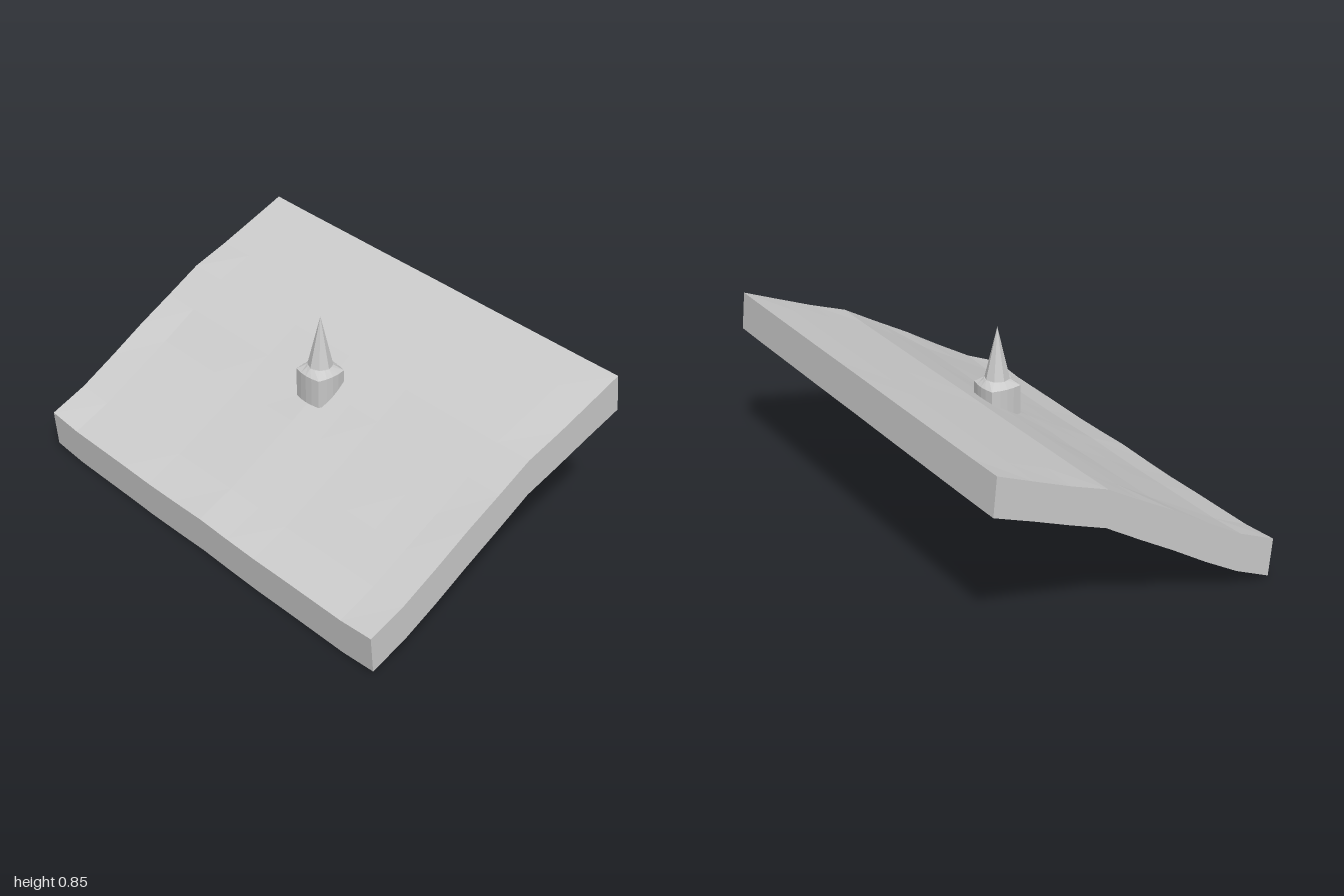
import * as THREE from 'three';

const grey = () => new THREE.MeshStandardMaterial({ color: 0xcccccc, flatShading: true });

// Cross-section of the slope from back to front: [z, y] for each row
const TOP = [[-0.62, 0.785], [-0.47, 0.725], [-0.31, 0.662], [-0.15, 0.606], [0, 0.52],
  [0.155, 0.434], [0.313, 0.338], [0.473, 0.246], [0.635, 0.178]];
const BOTTOM = [[-0.635, 0.627], [-0.47, 0.567], [-0.313, 0.507], [-0.155, 0.45], [0, 0.357],
  [0.155, 0.267], [0.308, 0.173], [0.463, 0.086], [0.62, 0.019]];
// How far each row sags, and how the sag spreads from the middle to the sides
const SAG = [0.002, -0.003, -0.004, 0.003, 0.006, 0.02, 0.012, 0.012, 0.018];
const SPREAD = [0.6, 0.85, 1, 0.85, 0.8, 0.75, 0];

// Faceted, uneven slab of sloping ground
function makeSlope() {
  const geo = new THREE.BoxGeometry(2, 1, 1, 12, 1, 8);
  const p = geo.attributes.position;
  for (let i = 0; i < p.count; i++) {
    const row = Math.round((p.getZ(i) + 0.5) * 8);
    const col = Math.round(Math.abs(p.getX(i)) * 6);
    const [z, y] = (p.getY(i) > 0 ? TOP : BOTTOM)[row];
    p.setY(i, y - SAG[row] * SPREAD[col]);
    p.setZ(i, z);
  }
  geo.computeVertexNormals();
  const mesh = new THREE.Mesh(geo, grey());
  mesh.name = 'slopeSlab';
  return mesh;
}

// Turned form whose rings are pushed out towards a rounded square: [radius, y, squareness]
function makeTurned(name, rings, sides) {
  const geo = new THREE.LatheGeometry(rings.map(([r, y]) => new THREE.Vector2(r, y)), sides);
  const p = geo.attributes.position;
  for (let i = 0; i < p.count; i++) {
    const square = rings[i % rings.length][2];
    const x = p.getX(i), z = p.getZ(i), r = Math.hypot(x, z);
    if (r < 1e-6) continue;
    const k = Math.pow(r / Math.max(Math.abs(x), Math.abs(z)), square);
    p.setX(i, x * k);
    p.setZ(i, z * k);
  }
  geo.computeVertexNormals();
  const mesh = new THREE.Mesh(geo, grey());
  mesh.name = name;
  return mesh;
}

export function createModel() {
  const model = new THREE.Group();
  model.name = 'spireOnSlope';
  model.add(makeSlope());

  const tower = new THREE.Group();
  tower.name = 'tower';
  tower.add(
    // Rounded-square body with a sloping shoulder
    makeTurned('towerBody', [[0, 0.48, 0], [0.077, 0.48, 0.6], [0.077, 0.603, 0.6],
      [0.053, 0.628, 0], [0, 0.628, 0]], 16),
    // Pointed roof
    makeTurned('spire', [[0.053, 0.625, 0], [0, 0.847, 0]], 8),
  );
  tower.position.z = 0.006;
  model.add(tower);
  return model;
}
